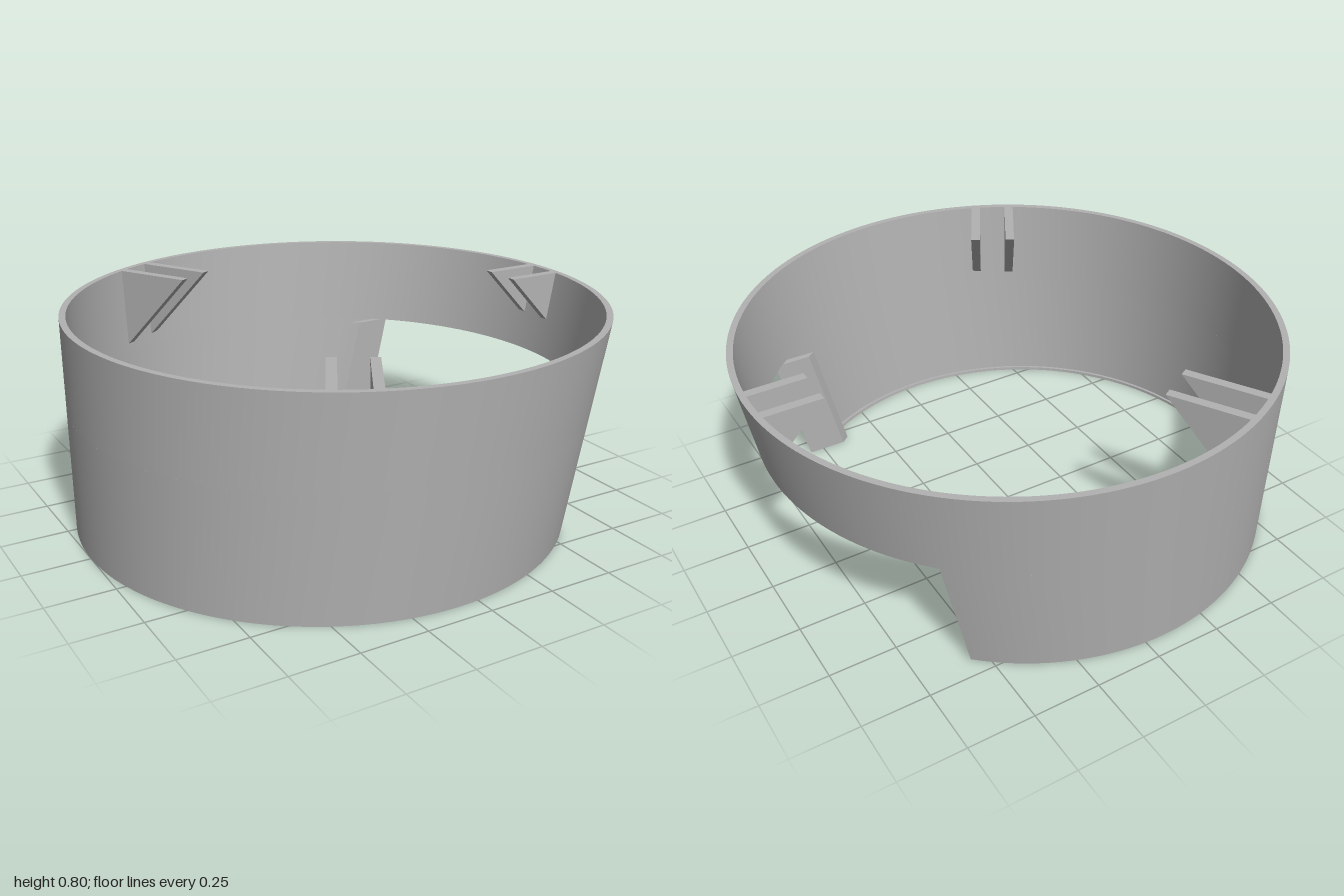
import * as THREE from 'three';
import { toCreasedNormals } from 'three/addons/utils/BufferGeometryUtils.js';
import { ConvexGeometry } from 'three/addons/geometries/ConvexGeometry.js';

const HEIGHT = 0.8, HEAD = 0.465, HALF_OPENING = 0.68, WALL = 0.024, SEGMENTS = 160;

// The wall is an oblique cone: straight up at -x, leaning outwards at +x.
const radiusAt = (y) => 0.927 + 0.073 * y / HEIGHT;
const centreAt = (y) => radiusAt(y) - 1;

// Sweep a closed [inset, y] profile round the wall, optionally leaving the opening free.
function sweep(profile, opening) {
  const n = profile.length, pos = [], index = [];
  for (let j = 0; j <= SEGMENTS; j++) {
    for (const [inset, y] of profile) {
      const r = radiusAt(y) - inset;
      const start = opening ? Math.asin(HALF_OPENING / r) : 0;
      const a = start + (Math.PI * 2 - 2 * start) * j / SEGMENTS;
      pos.push(centreAt(y) + r * Math.cos(a), y, r * Math.sin(a));
    }
  }
  for (let j = 0; j < SEGMENTS; j++) {
    for (let i = 0; i < n; i++) {
      const k = (i + 1) % n, a = j * n, b = a + n;
      index.push(a + i, a + k, b + i, a + k, b + k, b + i);
    }
  }
  // End caps beside the opening
  if (opening) {
    const outline = profile.map(([inset, y]) => new THREE.Vector2(-inset, y));
    const last = SEGMENTS * n;
    for (const [a, b, c] of THREE.ShapeUtils.triangulateShape(outline, [])) {
      index.push(a, c, b, last + a, last + b, last + c);
    }
  }
  const geometry = new THREE.BufferGeometry();
  geometry.setAttribute('position', new THREE.Float32BufferAttribute(pos, 3));
  geometry.setIndex(index);
  return toCreasedNormals(geometry, 0.5);
}

// Triangular bracket: flat top, sloping underside, back edge buried in the wall.
function gussetGeometry(angle, offset) {
  const cos = Math.cos(angle), sin = Math.sin(angle), hub = 0.058, tip = 0.70;
  const points = [];
  for (const side of [offset - 0.0175, offset + 0.0175]) {
    const at = (r, y) => new THREE.Vector3(hub + cos * r - sin * side, y, sin * r + cos * side);
    const reach = (y) => {
      const dx = hub - centreAt(y), R = radiusAt(y) - WALL / 2;
      const along = dx * cos, across = side - dx * sin;
      return -along + Math.sqrt(R * R - across * across);
    };
    let foot = 0.5;
    for (let i = 0; i < 20; i++) foot = HEIGHT - 1.05 * (reach(foot) - tip);
    points.push(at(tip, HEIGHT), at(reach(HEIGHT), HEIGHT), at(reach(foot), foot));
  }
  return new ConvexGeometry(points);
}

// Leaning jamb plate with a chamfered inner edge; side is +1 or -1 in z.
function jambGeometry(side) {
  const points = [];
  for (const [z, inner] of [[0.676, 0.03], [0.7, 0]]) {
    const outerX = (y) => centreAt(y) + Math.sqrt((radiusAt(y) - 0.006) ** 2 - z * z);
    points.push(
      new THREE.Vector3(0.38 + inner, 0, side * z),
      new THREE.Vector3(outerX(0), 0, side * z),
      new THREE.Vector3(outerX(HEAD), HEAD, side * z),
      new THREE.Vector3(0.49 + inner, HEAD, side * z));
  }
  return new ConvexGeometry(points);
}

export function createModel() {
  const group = new THREE.Group();
  const grey = new THREE.MeshStandardMaterial({ color: 0xb2b2b2 });
  grey.name = 'grey';
  const add = (name, geometry) => {
    const mesh = new THREE.Mesh(geometry, grey);
    mesh.name = name;
    group.add(mesh);
  };

  // Full ring above the opening
  add('upperWall', sweep([[0, HEAD], [0, HEIGHT], [WALL, HEIGHT], [WALL, HEAD]], false));

  // Open ring below, with a small lip inside its foot
  add('lowerWall', sweep([[0, 0], [0, HEAD], [WALL, HEAD], [WALL, 0.012], [0.035, 0.012], [0.035, 0]], true));

  // Jamb plates either side of the opening
  add('leftJamb', jambGeometry(1));
  add('rightJamb', jambGeometry(-1));

  // Three pairs of brackets under the rim
  for (let i = 0; i < 3; i++) {
    for (const offset of [-0.07, 0.07]) add('rimBracket', gussetGeometry(i * Math.PI * 2 / 3, offset));
  }
  return group;
}
